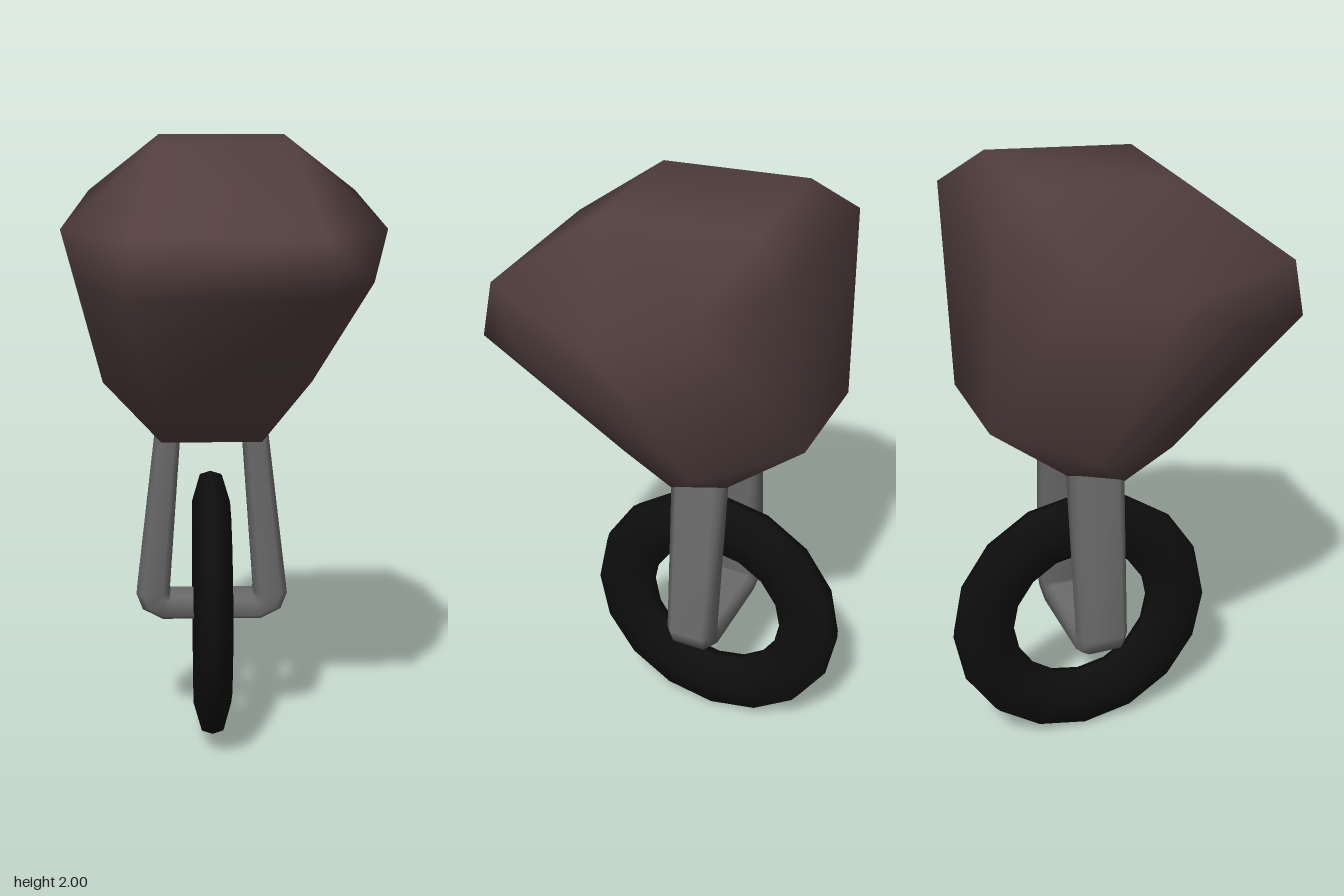
import * as THREE from 'three';
import { mergeVertices } from 'three/addons/utils/BufferGeometryUtils.js';
import { ConvexGeometry } from 'three/addons/geometries/ConvexGeometry.js';

const bodyBrown = new THREE.MeshStandardMaterial({ color: 0x523f3e });
const forkGrey = new THREE.MeshStandardMaterial({ color: 0x6a6a6a });
const tireBlack = new THREE.MeshStandardMaterial({ color: 0x0e0e0e });
[bodyBrown, forkGrey, tireBlack].forEach((m, i) => { m.name = ['bodyBrown', 'forkGrey', 'tireBlack'][i]; });

const CX = -0.04; // centre line of wheel and fork
const CZ = -0.09;

// Faceted body hull with smooth normals: each row is [centre x, half width, y, z]
function makeBody() {
  const pairs = [
    [0, 0.21, 2.0, -0.3], [0, 0.21, 1.97, 0.18],        // crown
    [0, 0.305, 1.89, -0.425], [0, 0.44, 1.82, -0.22],   // upper back and shoulders
    [0, 0.515, 1.71, 0.06], [0, 0.44, 1.57, 0.34],      // widest sides
    [0, 0.28, 1.71, 0.52], [0, 0.31, 1.54, 0.54],       // blunt nose
    [-0.06, 0.19, 1.28, -0.447], [-0.05, 0.35, 1.19, -0.15], // lower back and hips
    [CX, 0.17, 1.11, 0.16], [CX, 0.165, 1.015, 0], [CX, 0.165, 1.07, -0.19], // underside
  ];
  const points = pairs.flatMap(([c, w, y, z]) => [-1, 1].map(s => new THREE.Vector3(c + s * w, y, z)));
  let geo = new ConvexGeometry(points);
  geo.deleteAttribute('normal');
  geo = mergeVertices(geo, 1e-4);
  geo.computeVertexNormals();
  return geo;
}

// U-shaped fork: a flattened bevelled section swept down one leg, across and up the other
function makeFork() {
  // [outer x, outer y, inner x, inner y, half depth] for one side
  const half = [
    [0.175, 1.14, 0.095, 1.14, 0.09],
    [0.253, 0.49, 0.142, 0.49, 0.077],
    [0.232, 0.435, 0.141, 0.483, 0.076],
    [0.165, 0.4, 0.138, 0.48, 0.075],
  ];
  const mirror = half.map(([a, b, c, d, e]) => [-a, b, -c, d, e]);
  const rings = [...mirror, ...half.reverse()];
  const section = [[1, -0.72], [1, 0.72], [0.6, 1], [-0.6, 1], [-1, 0.72], [-1, -0.72], [-0.6, -1], [0.6, -1]];
  const n = section.length;
  const pos = [], index = [];
  rings.forEach(([ox, oy, ix, iy, depth], i) => {
    section.forEach(([u, v], j) => {
      const t = (1 - u) / 2;
      pos.push(CX + ox + (ix - ox) * t, oy + (iy - oy) * t, CZ + v * depth);
      if (i === rings.length - 1) return;
      const a = i * n + j, b = i * n + (j + 1) % n;
      index.push(a, a + n, b, b, a + n, b + n);
    });
  });
  const geo = new THREE.BufferGeometry();
  geo.setAttribute('position', new THREE.Float32BufferAttribute(pos, 3));
  geo.setIndex(index);
  geo.computeVertexNormals();
  return geo;
}

// Sixteen-sided tire with a narrow rounded section
function makeTire() {
  const profile = [
    [0.24, 0], [0.252, -0.036], [0.345, -0.063], [0.436, -0.036], [0.447, 0],
    [0.436, 0.036], [0.345, 0.063], [0.252, 0.036], [0.24, 0],
  ].map(([r, w]) => new THREE.Vector2(r, w));
  return new THREE.LatheGeometry(profile, 16).rotateZ(Math.PI / 2).translate(CX, 0.447, CZ);
}

export function createModel() {
  const model = new THREE.Group();
  const add = (name, geo, mat) => {
    const mesh = new THREE.Mesh(geo, mat);
    mesh.name = name;
    model.add(mesh);
  };
  add('body', makeBody(), bodyBrown);
  add('wheelFork', makeFork(), forkGrey);
  add('tire', makeTire(), tireBlack);
  return model;
}
